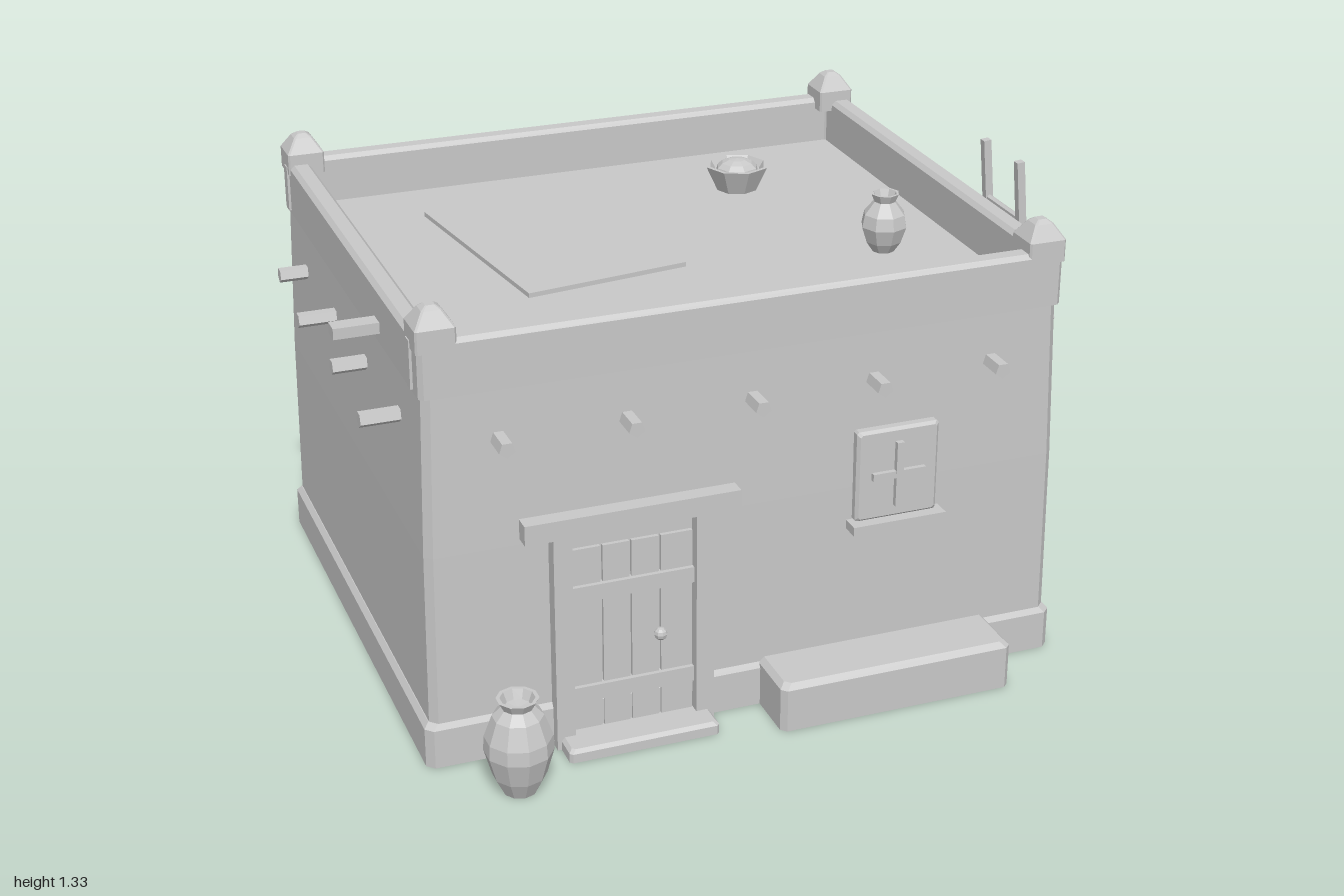
import * as THREE from 'three';

const clay = new THREE.MeshStandardMaterial({ color: 0xc8c8c8 });
clay.name = 'plainClay';
clay.flatShading = true;

const CX = -0.01, CZ = -0.13; // centre of the house

export function createModel() {
  const root = new THREE.Group();
  root.name = 'adobeHouse';

  const add = (name, geo, x = 0, y = 0, z = 0, parent = root) => {
    const m = new THREE.Mesh(geo, clay);
    m.name = name;
    m.position.set(x, y, z);
    parent.add(m);
    return m;
  };
  // box given by its limits on each axis
  const box = (name, x0, x1, y0, y1, z0, z1, parent = root) =>
    add(name, new THREE.BoxGeometry(x1 - x0, y1 - y0, z1 - z0),
      (x0 + x1) / 2, (y0 + y1) / 2, (z0 + z1) / 2, parent);

  // skin over chamfered rectangles [y, halfX, halfZ, chamfer], listed upwards on the outside
  const loft = (rings, capBottom, capTop) => {
    const pos = [], idx = [];
    for (const [y, a, b, c] of rings) {
      for (const [x, z] of [[a, b - c], [a, c - b], [a - c, -b], [c - a, -b],
        [-a, c - b], [-a, b - c], [c - a, b], [a - c, b]]) pos.push(x, y, z);
    }
    for (let r = 0; r < rings.length - 1; r++) {
      for (let i = 0; i < 8; i++) {
        const p = r * 8 + i, q = r * 8 + (i + 1) % 8;
        idx.push(p, q, q + 8, p, q + 8, p + 8);
      }
    }
    const t = (rings.length - 1) * 8;
    for (let i = 1; i < 7; i++) {
      if (capBottom) idx.push(0, i + 1, i);
      if (capTop) idx.push(t, t + i, t + i + 1);
    }
    const g = new THREE.BufferGeometry();
    g.setAttribute('position', new THREE.Float32BufferAttribute(pos, 3));
    g.setIndex(idx);
    const flat = g.toNonIndexed();
    flat.computeVertexNormals();
    return flat;
  };

  // tapered walls with the roof floor on top
  add('walls', loft([
    [0.1, 0.88, 0.735, 0.02], [0.6, 0.874, 0.733, 0.02],
    [1.03, 0.862, 0.726, 0.02], [1.045, 0.85, 0.715, 0.02],
  ], true, true), CX, 0, CZ);

  // hollow plinth around the foot of the walls
  add('plinth', loft([
    [0.1, 0.882, 0.732, 0.015], [0, 0.882, 0.732, 0.015], [0, 0.895, 0.745, 0.02],
    [0.11, 0.895, 0.745, 0.02], [0.125, 0.882, 0.735, 0.02], [0.125, 0.86, 0.715, 0.02],
  ]), CX, 0, CZ);

  // parapet with bevelled top
  add('parapet', loft([
    [1.03, 0.87, 0.729, 0.012], [1.168, 0.87, 0.729, 0.012], [1.18, 0.858, 0.717, 0.012],
    [1.18, 0.82, 0.679, 0.005], [1.168, 0.808, 0.667, 0.005], [1.04, 0.808, 0.667, 0.005],
  ]), CX, 0, CZ);

  // corner caps with a short strip below on the side walls
  for (const sx of [-1, 1]) {
    for (const sz of [-1, 1]) {
      add('cornerCap', loft([
        [1.15, 0.052, 0.052, 0.005], [1.21, 0.052, 0.052, 0.005],
        [1.25, 0.026, 0.026, 0.005], [1.26, 0.012, 0.012, 0.003],
      ], true, true), CX + sx * 0.822, 0, CZ + sz * 0.677);
      add('cornerStrip', new THREE.BoxGeometry(0.03, 0.13, 0.03),
        CX + sx * 0.862, 1.105, CZ + sz * 0.66);
    }
  }

  // roof beam ends
  const beam = (x, z, side, length) => {
    const g = new THREE.CylinderGeometry(0.022, 0.022, length, 5);
    g.rotateX(Math.PI / 2); // axis now along z
    add('beamEnd', g, x, 0.9, z).rotation.y = side * Math.PI / 2;
  };
  for (const x of [-0.685, -0.35, -0.012, 0.325, 0.66]) beam(x, 0.6, 0, 0.145);
  [[-0.64, 0.96, 0.955], [-0.3, 0.943, 0.98], [0.035, 0.94, 0.968], [0.375, 0.96, 0.98]]
    .forEach(([z, right, left]) => {
      beam(right - 0.08, z, 1, 0.16);
      beam(-left + 0.08, z, -1, 0.16);
    });
  box('waterSpout', -1, -0.82, 1.06, 1.09, 0.18, 0.23);

  // door
  const door = new THREE.Group();
  door.name = 'door';
  root.add(door);
  box('doorPost', -0.565, -0.515, 0, 0.617, 0.56, 0.645, door);
  box('doorPost', -0.18, -0.13, 0, 0.617, 0.56, 0.645, door);
  box('lintel', -0.64, -0.06, 0.615, 0.67, 0.56, 0.648, door);
  add('threshold', loft([
    [0, 0.207, 0.065, 0.008], [0.026, 0.207, 0.065, 0.008], [0.036, 0.198, 0.056, 0.008],
  ], true, true), -0.347, 0, 0.652, door);
  box('doorBack', -0.52, -0.175, 0.03, 0.617, 0.57, 0.609, door);
  const cuts = [-0.515, -0.43, -0.352, -0.272, -0.18];
  for (let i = 0; i < 4; i++) {
    box('doorPlank', cuts[i] + 0.003, cuts[i + 1] - 0.003, 0.035, 0.565, 0.58, 0.62, door);
  }
  for (const y of [0.145, 0.44]) box('doorRail', -0.513, -0.182, y - 0.022, y + 0.022, 0.6, 0.632, door);
  add('doorKnob', new THREE.SphereGeometry(0.018, 8, 6), -0.275, 0.285, 0.633, door);

  // windows, built facing +z with the wall face at z = 0
  const makeWindow = (x, y, z, turn) => {
    const w = new THREE.Group();
    w.name = 'window';
    const frame = loft([
      [-0.03, 0.117, 0.13, 0.006], [0.015, 0.117, 0.13, 0.006], [0.023, 0.109, 0.122, 0.006],
    ], true, true);
    frame.rotateX(Math.PI / 2);
    add('windowFrame', frame, 0, 0, 0, w);
    box('crossUpright', -0.01, 0.01, -0.092, 0.092, 0, 0.038, w);
    box('crossBar', -0.075, 0.075, -0.01, 0.01, 0, 0.036, w);
    box('windowSill', -0.133, 0.133, -0.153, -0.128, -0.03, 0.05, w);
    w.position.set(x, y, z);
    w.rotation.y = turn;
    root.add(w);
  };
  makeWindow(0.39, 0.633, 0.605, 0);
  makeWindow(0.864, 0.68, -0.41, Math.PI / 2);

  // bench against the front wall
  add('bench', loft([
    [0, 0.334, 0.1, 0.015], [0.122, 0.334, 0.1, 0.015], [0.137, 0.319, 0.085, 0.015],
  ], true, true), 0.348, 0, 0.67);

  // ladder leaning on the right wall
  const ladder = new THREE.Group();
  ladder.name = 'ladder';
  const slope = Math.atan2(0.118, 1.31);
  for (const z of [0.115, 0.31]) {
    add('ladderRail', new THREE.BoxGeometry(0.022, 1.318, 0.022), 0.929, 0.672, z, ladder).rotation.z = slope;
  }
  for (const y of [0.19, 0.432, 0.675, 0.917, 1.16]) {
    const g = new THREE.CylinderGeometry(0.01, 0.01, 0.2, 6);
    g.rotateX(Math.PI / 2);
    add('ladderRung', g, 0.929 - (y - 0.672) * Math.tan(slope), y, 0.2125, ladder);
  }
  root.add(ladder);

  // pots
  const lathe = (pts, sides) => new THREE.LatheGeometry(pts.map(p => new THREE.Vector2(...p)), sides);
  const bigJar = lathe([[0, 0], [0.045, 0], [0.07, 0.05], [0.09, 0.12], [0.088, 0.16], [0.066, 0.22],
    [0.042, 0.245], [0.055, 0.27], [0.045, 0.27], [0.034, 0.245], [0, 0.24]], 10);
  add('largeJar', bigJar, -0.71, 0, 0.78);
  const smallJar = lathe([[0, 0], [0.03, 0], [0.05, 0.03], [0.065, 0.075], [0.058, 0.11], [0.03, 0.145],
    [0.04, 0.168], [0.033, 0.168], [0.024, 0.145], [0, 0.142]], 8);
  add('roofJar', smallJar, 0.57, 1.044, 0.115);
  const bowl = lathe([[0, 0], [0.06, 0], [0.095, 0.075], [0.083, 0.075], [0.07, 0.055], [0, 0.055]], 8);
  add('basket', bowl, 0.38, 1.044, -0.49);
  const heap = new THREE.SphereGeometry(0.065, 8, 4, 0, Math.PI * 2, 0, Math.PI / 2);
  heap.scale(1, 0.6, 1);
  add('basketHeap', heap, 0.38, 1.097, -0.49);

  // mat on the roof
  add('roofMat', new THREE.BoxGeometry(0.47, 0.014, 0.69), -0.26, 1.051, -0.27).rotation.y = 0.137;

  return root;
}
